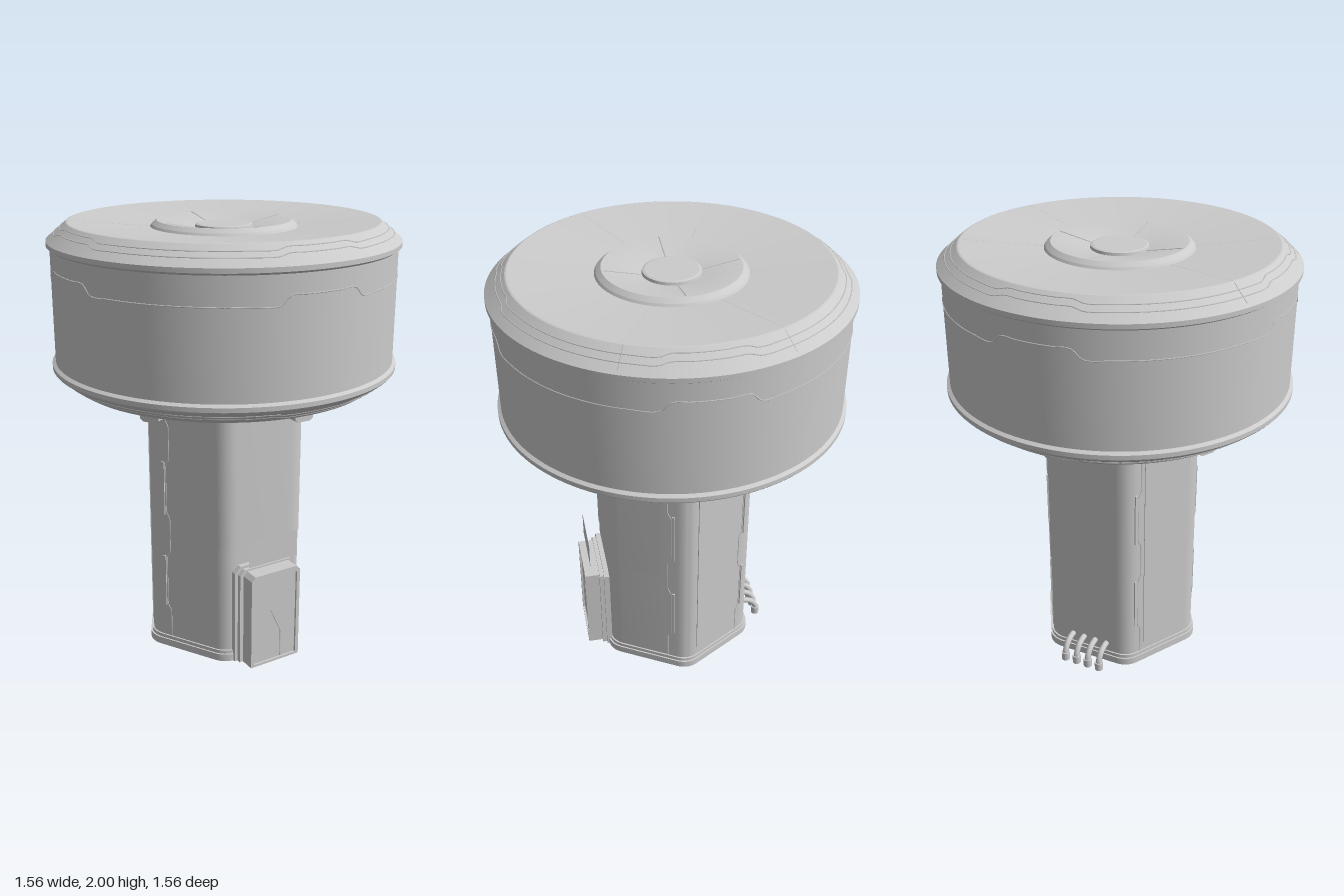
import * as THREE from 'three';
import { toCreasedNormals } from 'three/addons/utils/BufferGeometryUtils.js';

const V2 = THREE.Vector2, V3 = THREE.Vector3;
const grey = new THREE.MeshStandardMaterial({ color: 0xcccccc });
const grey2 = new THREE.MeshStandardMaterial({ color: 0xcccccc, side: THREE.DoubleSide });

function add(parent, name, geo, mat = grey) {
  const m = new THREE.Mesh(geo, mat);
  m.name = name;
  parent.add(m);
  return m;
}

// Thin bead along a straight-sided path
function bead(parent, name, pts, r = 0.003) {
  const curve = new THREE.CatmullRomCurve3(pts, false, 'catmullrom', 0);
  return add(parent, name, new THREE.TubeGeometry(curve, pts.length * 6, r, 4));
}

// Hexagon in x/z with rounded corners, points at +x and -x
function hexPoints(R, d = 0.06) {
  const corner = k => new V2(Math.cos(k * Math.PI / 3) * R, Math.sin(k * Math.PI / 3) * R);
  const out = [];
  for (let k = 0; k < 6; k++) {
    const c = corner(k), f = d / R;
    const q = new THREE.QuadraticBezierCurve(c.clone().lerp(corner(k - 1), f), c, c.clone().lerp(corner(k + 1), f));
    out.push(...q.getPoints(7));
  }
  return out;
}

// Extrude an x/z outline from y0 up to y1
function upright(pts, y0, y1, hole) {
  const s = new THREE.Shape(pts);
  if (hole) s.holes.push(new THREE.Path(hole));
  const g = new THREE.ExtrudeGeometry(s, { depth: y1 - y0, bevelEnabled: false });
  g.rotateX(Math.PI / 2).translate(0, y1, 0);
  return toCreasedNormals(g, 0.4);
}

// Doorway outline with cut top corners
const arch = (w, h, c, y = 0) => [[-w, y], [w, y], [w, h - c], [w - c, h], [c - w, h], [-w, h - c]].map(p => new V2(...p));

function slab(pts, z0, z1, hole) {
  const s = new THREE.Shape(pts);
  if (hole) s.holes.push(new THREE.Path(hole));
  return new THREE.ExtrudeGeometry(s, { depth: z1 - z0, bevelEnabled: false }).translate(0, 0, z0);
}

function buildTank() {
  const tank = new THREE.Group();
  tank.name = 'tank';
  const profile = [
    [0, 1.285], [0.685, 1.285], [0.773, 1.35], [0.78, 1.358], [0.78, 1.378], [0.765, 1.388],
    [0.765, 1.892], [0.78, 1.902], [0.78, 1.922], [0.768, 1.932], [0.69, 1.998], [0.683, 2],
    [0.325, 1.97], [0.318, 1.98], [0.297, 1.997], [0.29, 1.997], [0.128, 1.965], [0.125, 1.977], [0.115, 1.98], [0, 1.98],
  ].map(p => new V2(...p));
  add(tank, 'tankShell', toCreasedNormals(new THREE.LatheGeometry(profile, 128), 0.2));

  // Seams around the tank that step aside at each quarter
  const seam = (name, r0, y0, r1, y1) => {
    const pts = [];
    for (let k = 0; k < 4; k++) {
      for (const a of [-0.2, -0.1, 0, 0.1, 0.2, 0.26, 0.4, 0.55, 0.7, 0.785, 0.87, 1.02, 1.17, 1.31]) {
        const up = Math.abs(a) <= 0.2, t = a + k * Math.PI / 2, r = up ? r1 : r0;
        pts.push(new V3(r * Math.sin(t), up ? y1 : y0, r * Math.cos(t)));
      }
    }
    add(tank, name, new THREE.TubeGeometry(new THREE.CatmullRomCurve3(pts, true), 224, 0.003, 4, true));
  };
  seam('wallSeam', 0.765, 1.77, 0.765, 1.81);
  seam('upperBevelSeam', 0.743, 1.953, 0.731, 1.963);
  seam('upperBevelSeam', 0.718, 1.974, 0.706, 1.984);
  seam('lowerBevelSeam', 0.745, 1.329, 0.732, 1.32);
  seam('lowerBevelSeam', 0.718, 1.31, 0.706, 1.301);

  // Radial joints of the roof and of the centre cap
  for (const a of [26, 154, 206, 334]) {
    const t = a * Math.PI / 180;
    const p = (r, y) => new V3(r * Math.cos(t), y, r * Math.sin(t));
    bead(tank, 'roofJoint', [p(0.325, 1.969), p(0.685, 1.999)], 0.002);
    bead(tank, 'roofEdgeJoint', [p(0.69, 1.997), p(0.766, 1.933)], 0.002);
  }
  for (let k = 0; k < 4; k++) {
    const t = k * Math.PI / 2;
    const p = (r, y) => new V3(r * Math.cos(t), y, r * Math.sin(t));
    bead(tank, 'capJoint', [p(0.125, 1.964), p(0.29, 1.997)], 0.003);
  }

  // Support arms under the tank
  const section = new THREE.Shape([[-0.03, 1.243], [0.03, 1.243], [0.045, 1.255], [0.045, 1.29], [-0.045, 1.29], [-0.045, 1.255]].map(p => new V2(...p)));
  for (let k = 0; k < 6; k++) {
    const g = new THREE.ExtrudeGeometry(section, { depth: 0.3, bevelEnabled: false }).translate(0, 0, 0.34);
    add(tank, 'supportArm', g).rotation.y = k * Math.PI / 3;
  }
  return tank;
}

function buildColumn() {
  const column = new THREE.Group();
  column.name = 'column';
  add(column, 'columnWall', upright(hexPoints(0.4), 0, 1.29, hexPoints(0.385)), grey2);
  add(column, 'baseFlange', upright(hexPoints(0.416), 0, 0.035, hexPoints(0.385)), grey2);
  add(column, 'baseTrim', upright(hexPoints(0.408), 0.035, 0.052, hexPoints(0.39)));

  // Cladding wrapped around the upper front
  const wrap = R => {
    const end = [R - 0.12 / Math.sqrt(3), 0.12];
    return [new V2(...end), ...hexPoints(R).filter(p => p.y > 0.15), new V2(-end[0], end[1])];
  };
  add(column, 'frontCladding', upright([...wrap(0.404), ...wrap(0.392).reverse()], 0.57, 1.287));

  // Panels and stepped trim on the side faces, mirrored left and right
  const ap = 0.4 * Math.cos(Math.PI / 6);
  for (const side of [1, -1]) {
    const face = (deg) => {
      const g = new THREE.Group();
      g.name = 'sideFace';
      g.rotation.y = side * deg * Math.PI / 180;
      column.add(g);
      return g;
    };
    const trim = (parent, s) => {
      const pts = [];
      for (const [y0, y1] of [[0.22, 0.47], [0.7, 0.93], [1.15, 1.19]]) {
        pts.push([s, y0 - 0.03], [s + 0.018, y0], [s + 0.018, y1], [s, y1 + 0.03]);
      }
      const path = [[s, 0.05], ...pts, [s, 1.285]].map(p => new V3(side * p[0], p[1], ap));
      bead(parent, 'steppedTrim', path, 0.003);
      for (const y of [0.345, 0.815]) {
        add(parent, 'trimStrip', new THREE.BoxGeometry(0.014, 0.26, 0.012)).position.set(side * (s + 0.03), y, ap);
      }
    };
    trim(face(60), 0.095);
    const back = face(120);
    trim(back, 0.122);
    const panel = [[-0.143, 0.1], [-0.115, 0.07], [0.075, 0.07], [0.105, 0.1], [0.105, 1.17], [0.075, 1.2], [-0.115, 1.2], [-0.143, 1.17]];
    add(back, 'sidePanel', slab(panel.map(p => new V2(side * p[0], p[1])), ap - 0.004, ap + 0.004));
  }
  return column;
}

function buildDoor() {
  const door = new THREE.Group();
  door.name = 'door';
  add(door, 'doorHousing', slab(arch(0.165, 0.487, 0.03), -0.15, 0.37));
  // Step from the housing to the front frame
  add(door, 'doorStep', slab(arch(0.15, 0.475, 0.025), 0.36, 0.39));
  add(door, 'doorFrame', slab(arch(0.132, 0.467, 0.02), 0.38, 0.46, arch(0.115, 0.45, 0.015, 0.012)));
  add(door, 'doorLeaf', slab(arch(0.12, 0.455, 0.015, 0.005), 0.38, 0.45));
  bead(door, 'doorSeam', [new V3(-0.02, 0.27, 0.45), new V3(0.035, 0.15, 0.45), new V3(0.035, 0.012, 0.45)]);
  return door;
}

export function createModel() {
  const model = new THREE.Group();
  model.name = 'waterTower';
  model.add(buildTank(), buildColumn(), buildDoor());

  // Thin sign above the door
  add(model, 'sign', new THREE.PlaneGeometry(0.26, 0.13), grey2).position.set(0, 0.57, 0.43);

  // Row of pipes bending from the back wall into the ground
  for (let i = 0; i < 4; i++) {
    const x = (i - 1.5) * 0.06;
    const curve = new THREE.CatmullRomCurve3([
      new V3(x, 0.095, -0.33), new V3(x, 0.095, -0.37), new V3(x, 0.082, -0.405), new V3(x, 0.05, -0.428), new V3(x, 0, -0.43)]);
    add(model, 'pipe', new THREE.TubeGeometry(curve, 20, 0.014, 12));
    add(model, 'pipeCollar', new THREE.CylinderGeometry(0.02, 0.02, 0.04, 12)).position.set(x, 0.02, -0.43);
  }
  return model;
}
